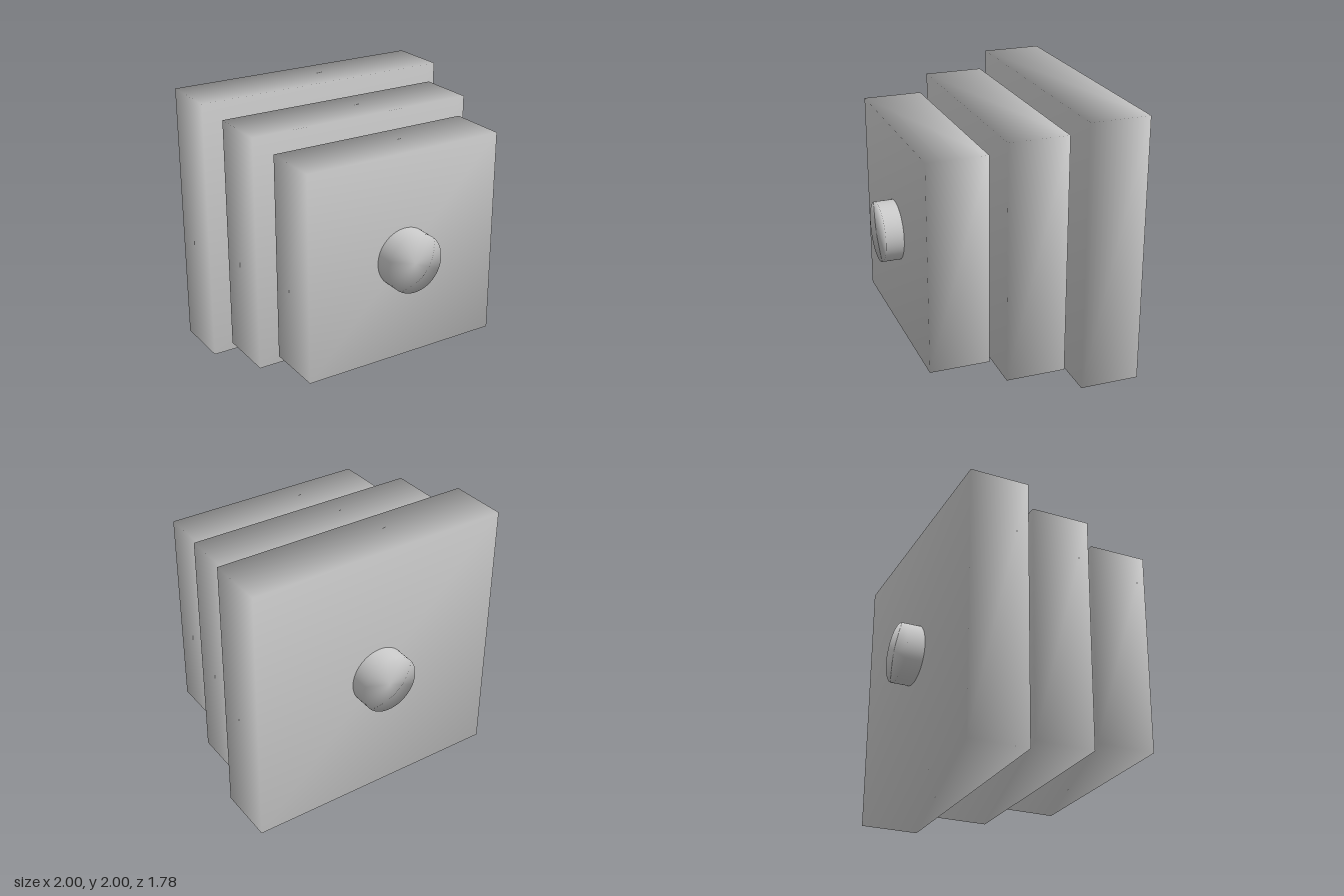
import * as THREE from 'three';
import { mergeVertices } from 'three/addons/utils/BufferGeometryUtils.js';

// Weld corners so normals blend smoothly over every edge
function smooth(geometry) {
  geometry.deleteAttribute('normal');
  geometry.deleteAttribute('uv');
  const welded = mergeVertices(geometry, 1e-4);
  welded.computeVertexNormals();
  return welded;
}

export function createModel() {
  const group = new THREE.Group();
  const material = new THREE.MeshStandardMaterial({ color: 0xcccccc });

  const add = (name, geometry, z = 0) => {
    const mesh = new THREE.Mesh(smooth(geometry), material);
    mesh.name = name;
    mesh.position.set(0, 1, z);
    group.add(mesh);
  };

  // Three square plates, growing toward the back
  const plates = [
    ['frontPlate', 1.556, 0.533],
    ['middlePlate', 1.778, 0],
    ['backPlate', 2, -0.533],
  ];
  for (const [name, size, z] of plates) {
    add(name, new THREE.BoxGeometry(size, size, 0.444), z);
  }

  // Round rod through the plate centres
  add('rod', new THREE.CylinderGeometry(0.222, 0.222, 1.778, 64).rotateX(Math.PI / 2));

  return group;
}
